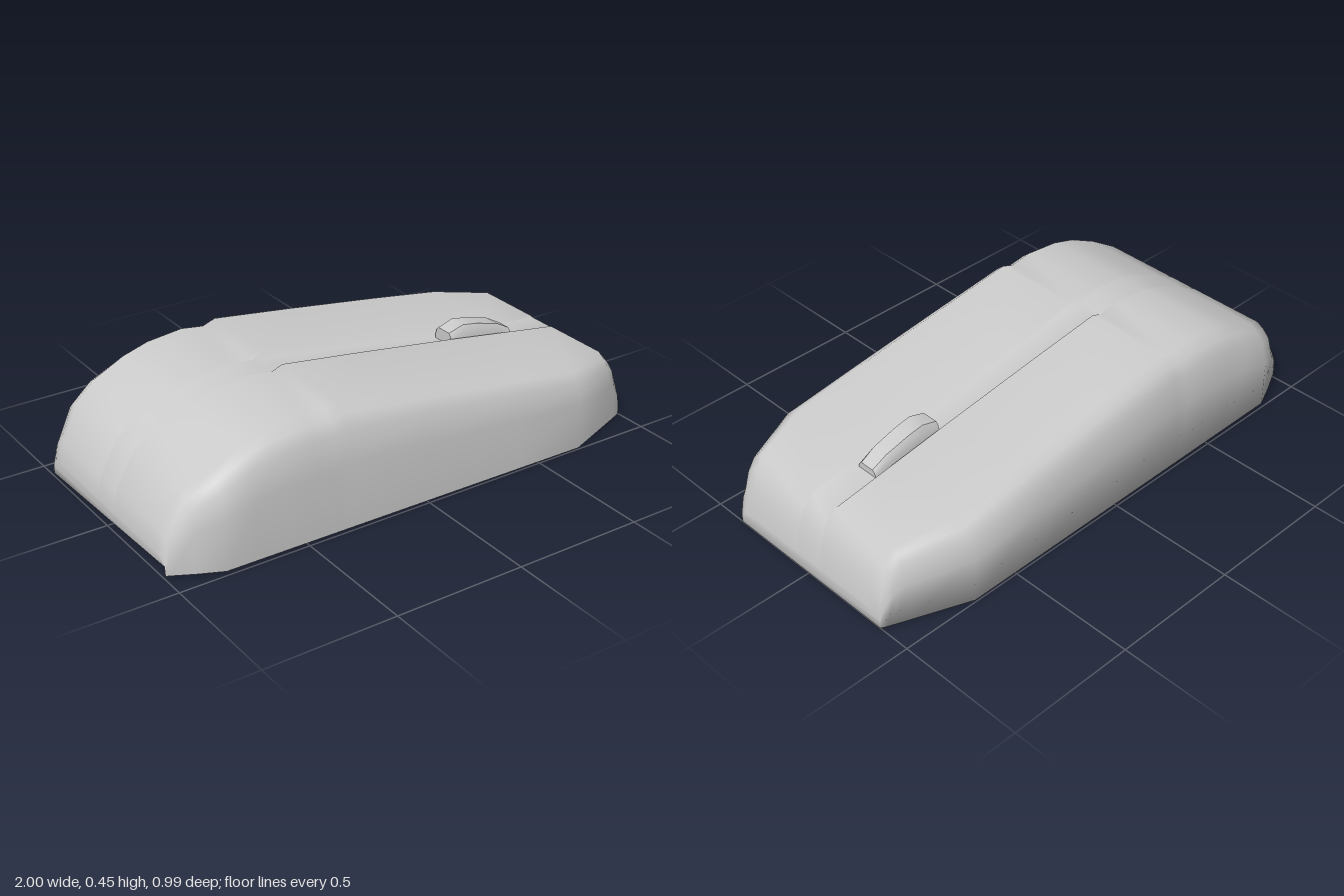
import * as THREE from 'three';
import { toCreasedNormals } from 'three/addons/utils/BufferGeometryUtils.js';

const material = new THREE.MeshStandardMaterial({ color: 0xcccccc, side: THREE.DoubleSide });

// Skin closed rings of [x, y, z], ordered by rising x, and cap both ends
function loft(rings) {
  const n = rings[0].length, last = (rings.length - 1) * n, index = [];
  for (let i = 0; i < rings.length - 1; i++) {
    for (let j = 0; j < n; j++) {
      const a = i * n + j, b = i * n + (j + 1) % n;
      index.push(a, a + n, b + n, a, b + n, b);
    }
  }
  for (let k = 1; k < n - 1; k++) {
    index.push(0, k, k + 1, last, last + k + 1, last + k);
  }
  const geometry = new THREE.BufferGeometry();
  geometry.setAttribute('position', new THREE.Float32BufferAttribute(rings.flat(2), 3));
  geometry.setIndex(index);
  geometry.computeVertexNormals();
  return geometry;
}

// Mirror a half section of [z, y] points, from +z base up to the middle
function mirrored(x, half) {
  return [
    ...half.map(([z, y]) => [x, y, z]),
    ...half.slice().reverse().map(([z, y]) => [x, y, -z]),
  ];
}

// Shell: x, half width, top height, height of the groove floor
const stations = [
  [-1, 0.41, 0.08, 0.08],
  [-0.985, 0.417, 0.16, 0.16],
  [-0.91, 0.455, 0.29, 0.29],
  [-0.82, 0.495, 0.34, 0.34],
  [-0.7, 0.495, 0.4, 0.4],
  [-0.6, 0.495, 0.43, 0.43],
  [-0.46, 0.495, 0.445, 0.445],
  [-0.37, 0.495, 0.432, 0.432],
  [-0.32, 0.495, 0.45, 0.428],
  [0, 0.495, 0.408, 0.38],
  [0.4, 0.495, 0.352, 0.315],
  [0.69, 0.495, 0.308, 0.284],
  [0.91, 0.408, 0.275, 0.272],
  [0.95, 0.392, 0.235, 0.235],
  [0.98, 0.38, 0.16, 0.16],
  [1, 0.37, 0.06, 0.06],
];

function shellRing([x, w, h, floor]) {
  const t = (1 - x) / 2, base = 0.014 * t;
  const ring = mirrored(x, [
    [w, base],
    [w, Math.max(h * 0.58, base + 0.01)],
    [w * 0.95, h * 0.84],
    [w * 0.89, h * 0.935],
    [w * 0.82, h],
    [0.06, h],
    [0.055, floor],
  ]);
  // The underside is tilted, leaving a lip along the left wall
  ring.unshift([x, base + 0.035 * t, w - 0.004]);
  return ring;
}

// Scroll wheel: x, top height, underside height, half width
const wheelStations = [
  [0.43, 0.36, 0.3, 0.05],
  [0.495, 0.379, 0.28, 0.052],
  [0.56, 0.368, 0.28, 0.051],
  [0.66, 0.341, 0.27, 0.048],
  [0.72, 0.308, 0.27, 0.044],
];

function wheelRing([x, top, under, w]) {
  const h = top - under;
  return mirrored(x, [
    [w, under],
    [w, under + h * 0.45],
    [w * 0.85, under + h * 0.8],
    [w * 0.65, top],
  ]);
}

export function createModel() {
  const model = new THREE.Group();
  model.name = 'computerMouse';

  const shell = new THREE.Mesh(loft(stations.map(shellRing)), material);
  shell.name = 'shellWithButtons';

  const wheel = new THREE.Mesh(toCreasedNormals(loft(wheelStations.map(wheelRing)), 0.6), material);
  wheel.name = 'scrollWheel';

  model.add(shell, wheel);
  return model;
}
